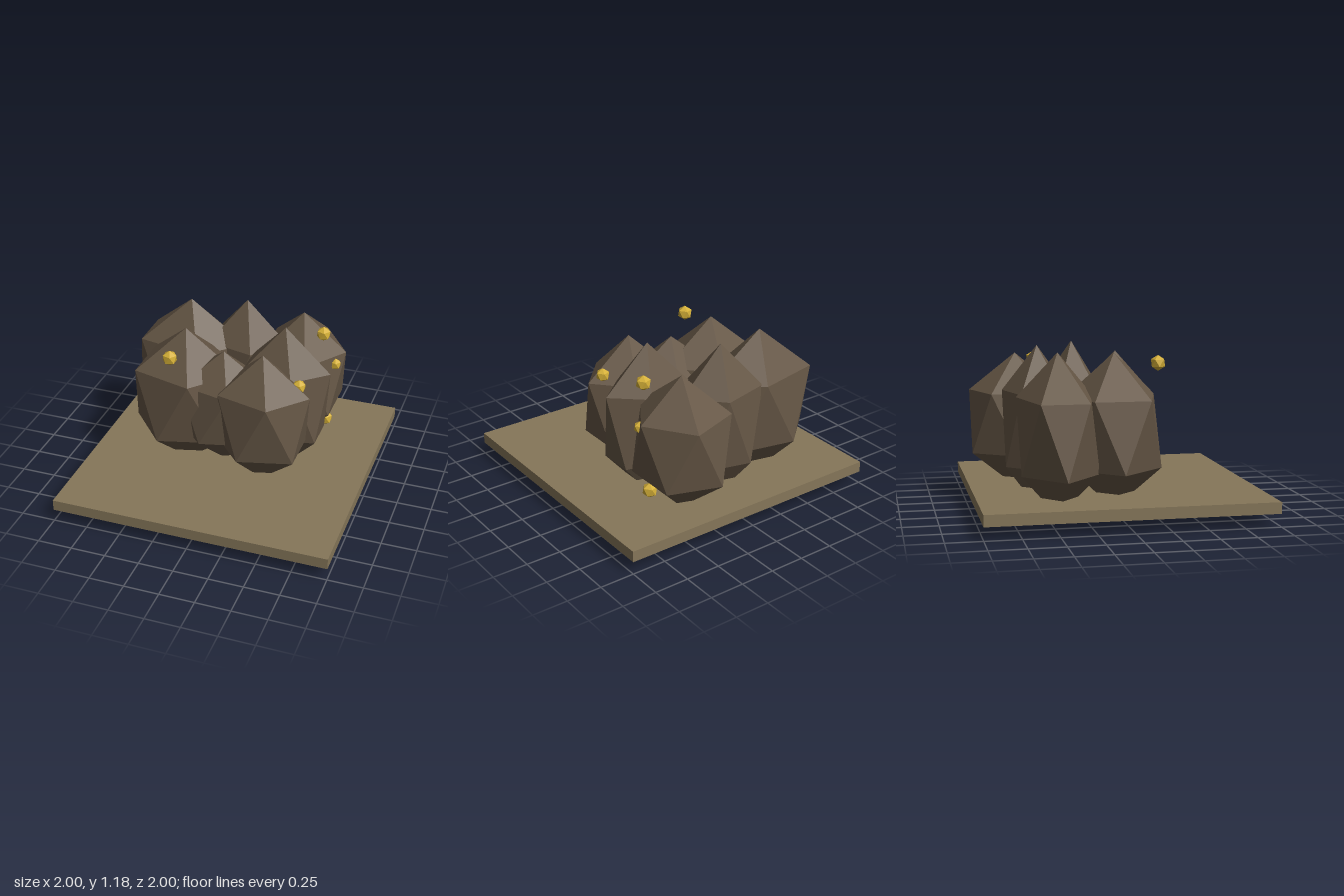
import * as THREE from 'three';

export function createModel() {
  const model = new THREE.Group();
  model.name = 'oreRockPile';

  const makeMaterial = (name, color) => {
    const m = new THREE.MeshStandardMaterial({ color, flatShading: true });
    m.name = name;
    return m;
  };
  const earth = makeMaterial('earth', 0x857659);
  const stone = makeMaterial('darkStone', 0x655645);
  const gold = makeMaterial('gold', 0xd4af37);

  // Icosahedron turned so that one corner points straight up
  const tilt = Math.atan(2 / (1 + Math.sqrt(5)));
  const facetedBall = (rx, ry, rz) =>
    new THREE.IcosahedronGeometry(1, 0).rotateZ(-tilt).scale(rx, ry, rz);

  const add = (name, geometry, material, x, y, z) => {
    const mesh = new THREE.Mesh(geometry, material);
    mesh.name = name;
    mesh.position.set(x, y, z);
    model.add(mesh);
  };

  // Square slab of ground
  add('groundSlab', new THREE.BoxGeometry(2, 0.08, 2), earth, 0, 0.14, 0);

  // Boulders: x, z, then radii along x, y, z; all share one centre height
  const boulders = [
    [-0.48, -0.433, 0.48, 0.568, 0.315],
    [-0.37, -0.02, 0.447, 0.55, 0.37],
    [-0.07, -0.515, 0.36, 0.588, 0.28],
    [0.337, -0.62, 0.37, 0.502, 0.388],
    [0.32, -0.2, 0.382, 0.585, 0.245],
    [0.255, 0.12, 0.386, 0.512, 0.312],
    [-0.06, 0.045, 0.39, 0.45, 0.293],
  ];
  boulders.forEach(([x, z, rx, ry, rz], i) =>
    add(`boulder${i + 1}`, facetedBall(rx, ry, rz), stone, x, 0.597, z));

  // Gold nuggets: centre and radius
  const nuggets = [
    [-0.37, 1.07, 0.295, 0.056],
    [0.532, 1.037, -0.458, 0.055],
    [0.508, 0.885, 0.075, 0.051],
    [0.612, 0.76, -0.53, 0.045],
    [0.55, 0.267, -0.55, 0.056],
  ];
  nuggets.forEach(([x, y, z, r], i) =>
    add(`nugget${i + 1}`, facetedBall(r, r, r), gold, x, y, z));

  return model;
}
